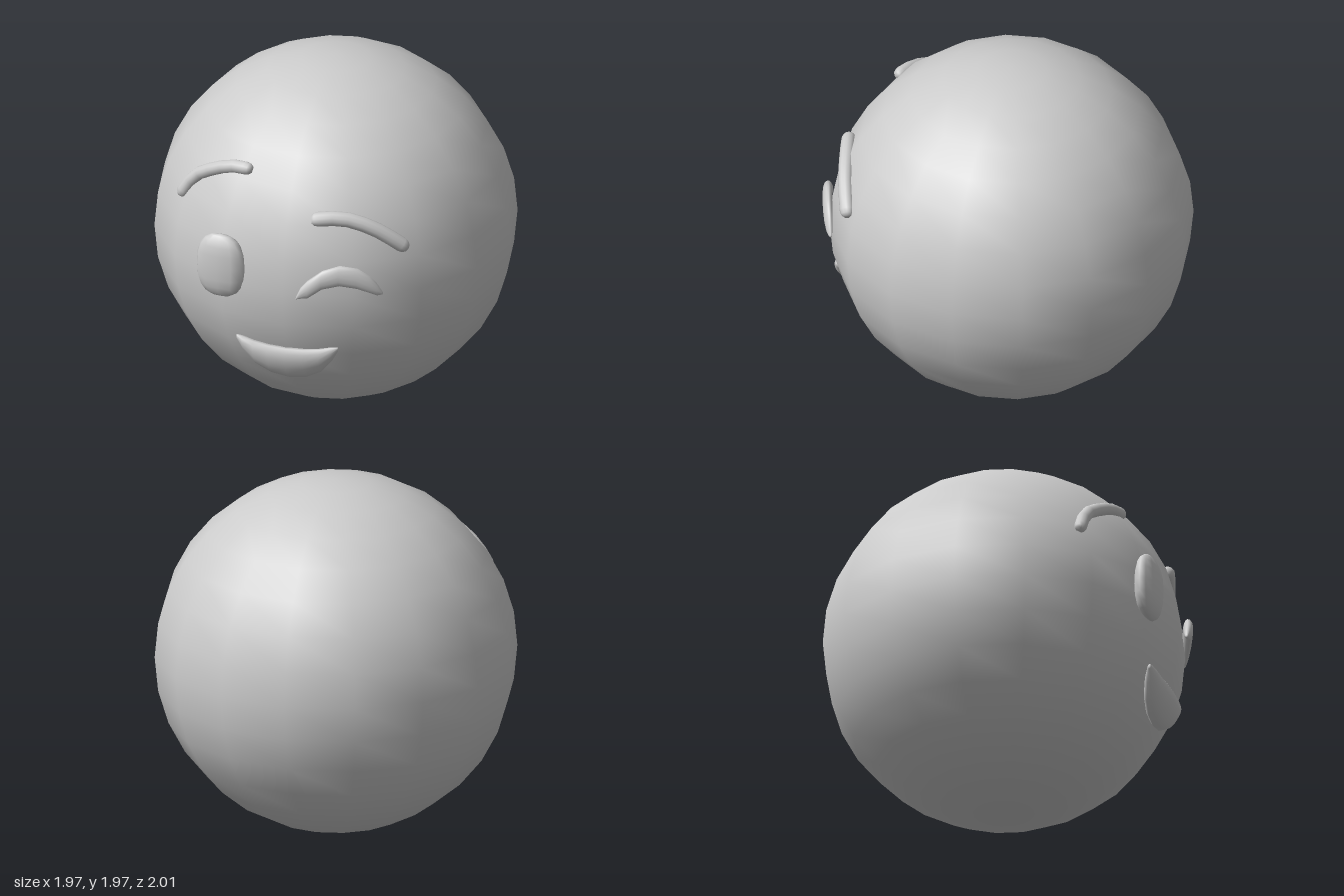
import * as THREE from 'three';
import { mergeVertices } from 'three/addons/utils/BufferGeometryUtils.js';

const R = 0.987;
const CENTER = new THREE.Vector3(0, 0.99, -0.013);
const X_AXIS = new THREE.Vector3(1, 0, 0);
const material = new THREE.MeshStandardMaterial({ color: 0xcccccc });

// Point on the head's front at (x, y), raised by lift towards the front
function onHead(x, y, lift = 0) {
  const dy = y - CENTER.y;
  return new THREE.Vector3(x, y, Math.sqrt(R * R - x * x - dy * dy) + CENTER.z + lift);
}

// Closed loft of elliptical rings; each station is { p, t, w, d }:
// centre, direction, half height along the face, half depth off the face
function loft(stations, sides = 12) {
  const pos = [], index = [];
  for (const { p, t, w, d } of stations) {
    const n = p.clone().sub(CENTER).projectOnPlane(t).normalize();
    const across = n.clone().cross(t);
    for (let j = 0; j < sides; j++) {
      const a = (j / sides) * Math.PI * 2;
      const v = p.clone().addScaledVector(across, w * Math.cos(a)).addScaledVector(n, d * Math.sin(a));
      pos.push(v.x, v.y, v.z);
    }
  }
  const last = stations.length - 1, start = stations.length * sides;
  pos.push(...stations[0].p.toArray(), ...stations[last].p.toArray());
  for (let j = 0; j < sides; j++) {
    const k = (j + 1) % sides;
    for (let i = 0; i < last; i++) {
      const a = i * sides + j, b = i * sides + k;
      index.push(a, b, a + sides, b, b + sides, a + sides);
    }
    index.push(start, k, j, start + 1, last * sides + j, last * sides + k);
  }
  const geo = new THREE.BufferGeometry();
  geo.setAttribute('position', new THREE.Float32BufferAttribute(pos, 3));
  geo.setIndex(index);
  geo.computeVertexNormals();
  return geo;
}

// Round-ended brow following the head through a few (x, y) points
function brow(points, r) {
  const curve = new THREE.CatmullRomCurve3(points.map(([x, y]) => onHead(x, y)));
  const ts = [0, 0.025, 0.07, 0.2, 0.35, 0.5, 0.65, 0.8, 0.93, 0.975, 1];
  return loft(ts.map((u) => {
    const end = Math.min(u, 1 - u);
    const s = r * (end === 0 ? 0.55 : end < 0.05 ? 0.85 : 1);
    return { p: curve.getPointAt(u), t: curve.getTangentAt(u), w: s, d: s };
  }));
}

// Crescent built from upright sections [x, middle y, half height, half depth]
function crescent(rows, lift) {
  return loft(rows.map(([x, y, w, d]) => ({ p: onHead(x, y, lift), t: X_AXIS, w, d })));
}

// Rounded-oblong eye: a ball with its outline squared off
function eye() {
  const ball = new THREE.SphereGeometry(1, 12, 10);
  ball.deleteAttribute('uv');
  ball.deleteAttribute('normal');
  const geo = mergeVertices(ball, 1e-4);
  const p = geo.attributes.position;
  const square = (v) => Math.sign(v) * Math.abs(v) ** 0.8;
  for (let i = 0; i < p.count; i++) {
    p.setXYZ(i, square(p.getX(i)) * 0.14, square(p.getY(i)) * 0.185, p.getZ(i) * 0.062);
  }
  geo.computeVertexNormals();
  return geo;
}

export function createModel() {
  const group = new THREE.Group();
  const add = (name, geo) => {
    const mesh = new THREE.Mesh(geo, material);
    mesh.name = name;
    group.add(mesh);
    return mesh;
  };

  add('head', new THREE.SphereGeometry(R, 16, 16)).position.copy(CENTER);

  const openEye = add('openEye', eye());
  openEye.position.set(-0.37, 1.085, 0.908);
  openEye.rotation.y = -0.1;

  add('winkingEye', crescent([
    [0.082, 0.988, 0.008, 0.008], [0.105, 1.018, 0.032, 0.018], [0.145, 1.045, 0.052, 0.024],
    [0.22, 1.102, 0.054, 0.027], [0.31, 1.127, 0.058, 0.028], [0.4, 1.108, 0.058, 0.027],
    [0.46, 1.072, 0.049, 0.024], [0.5, 1.035, 0.033, 0.018], [0.525, 1.012, 0.007, 0.008],
  ], 0.02));

  // Mouth: one half's sections, mirrored about the middle
  const half = [
    [0.285, 0.656, 0.014, 0.01], [0.25, 0.622, 0.047, 0.028], [0.185, 0.574, 0.084, 0.042],
    [0.1, 0.546, 0.107, 0.048],
  ];
  add('mouth', crescent([
    ...half.map(([x, ...rest]) => [-x, ...rest]),
    [0, 0.537, 0.115, 0.05],
    ...[...half].reverse(),
  ], 0.015));

  add('rightBrow', brow([[-0.69, 1.325], [-0.6, 1.455], [-0.475, 1.535], [-0.36, 1.58], [-0.25, 1.592]], 0.036));
  add('leftBrow', brow([[0.132, 1.412], [0.3, 1.418], [0.46, 1.36], [0.625, 1.237]], 0.041));

  return group;
}
